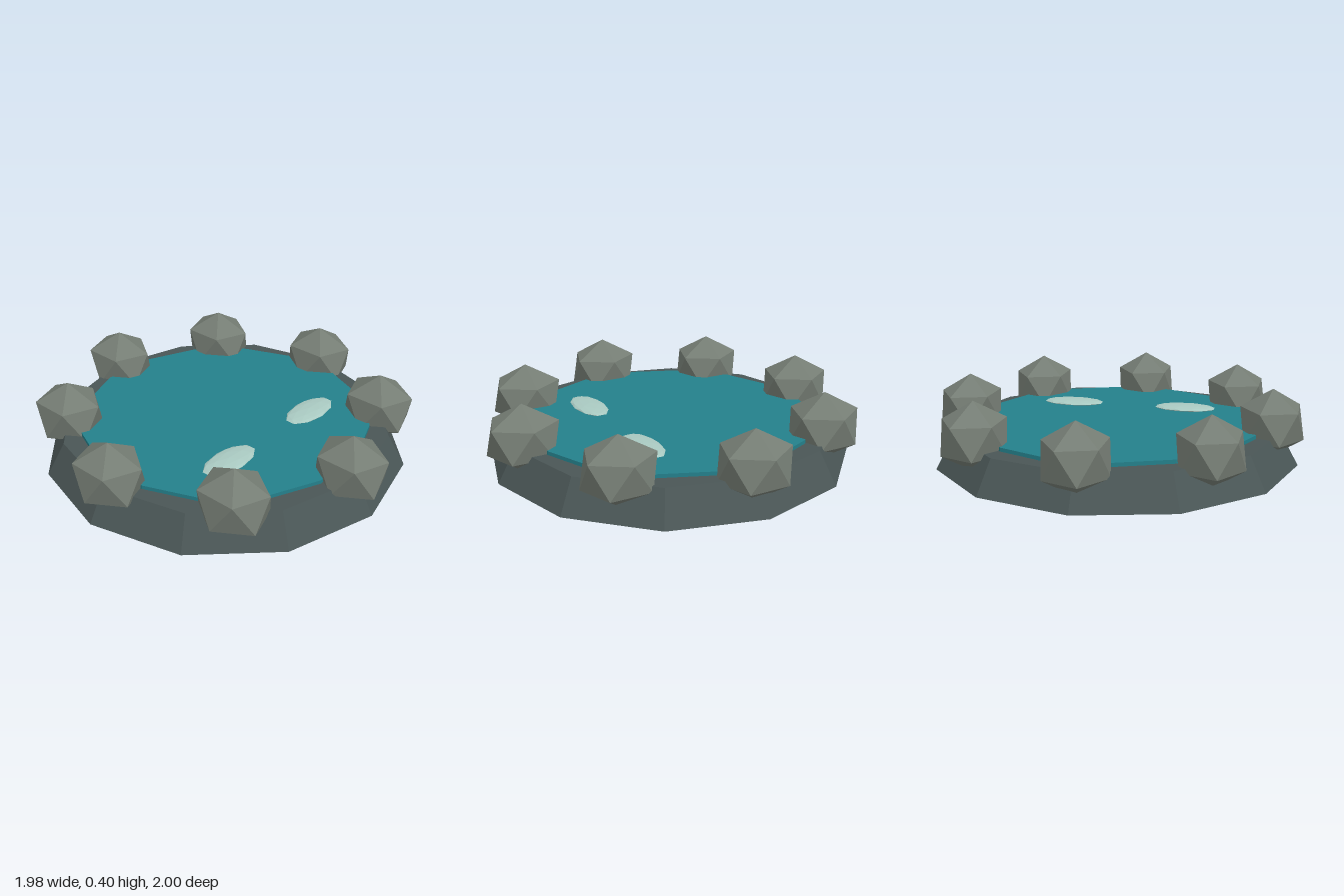
import * as THREE from 'three';

const mat = (name, color) => {
  const m = new THREE.MeshStandardMaterial({ color, flatShading: true });
  m.name = name;
  return m;
};

// Faceted ball standing on a vertex, stretched to the given half sizes
function facetedBall(detail, sx, sy, sz) {
  const g = new THREE.IcosahedronGeometry(1, detail);
  g.rotateZ(-Math.atan(2 / (1 + Math.sqrt(5))));
  g.scale(sx, sy, sz);
  g.computeVertexNormals();
  return g;
}

export function createModel() {
  const group = new THREE.Group();
  const darkStone = mat('dark stone', 0x4a5656);
  const greyRock = mat('grey rock', 0x757d74);
  const teal = mat('teal water', 0x24808b);
  const pale = mat('pale foam', 0xa9c9c1);

  const add = (name, geometry, material, x, y, z) => {
    const mesh = new THREE.Mesh(geometry, material);
    mesh.name = name;
    mesh.position.set(x, y, z);
    group.add(mesh);
    return mesh;
  };

  // Twelve-sided sloping basin
  add('basin', new THREE.CylinderGeometry(0.87, 0.965, 0.17, 12), darkStone, 0, 0.085, 0);

  // Water disc slightly proud of the rim
  const water = new THREE.CylinderGeometry(0.77, 0.77, 0.04, 16);
  water.rotateY(Math.PI / 16);
  add('water', water, teal, 0, 0.17, 0);

  // Ring of eight rocks
  const rock = facetedBall(0, 0.185, 0.18, 0.206);
  for (let i = 0; i < 8; i++) {
    const a = (i * Math.PI) / 4;
    add('rock' + (i + 1), rock, greyRock, 0.823 * Math.sin(a), 0.22, 0.823 * Math.cos(a));
  }

  // Two flat foam patches on the water
  const foam = facetedBall(1, 0.172, 0.017, 0.086);
  for (const side of [-1, 1]) {
    add(side > 0 ? 'leftFoam' : 'rightFoam', foam, pale, side * 0.322, 0.194, 0.32);
  }
  return group;
}
